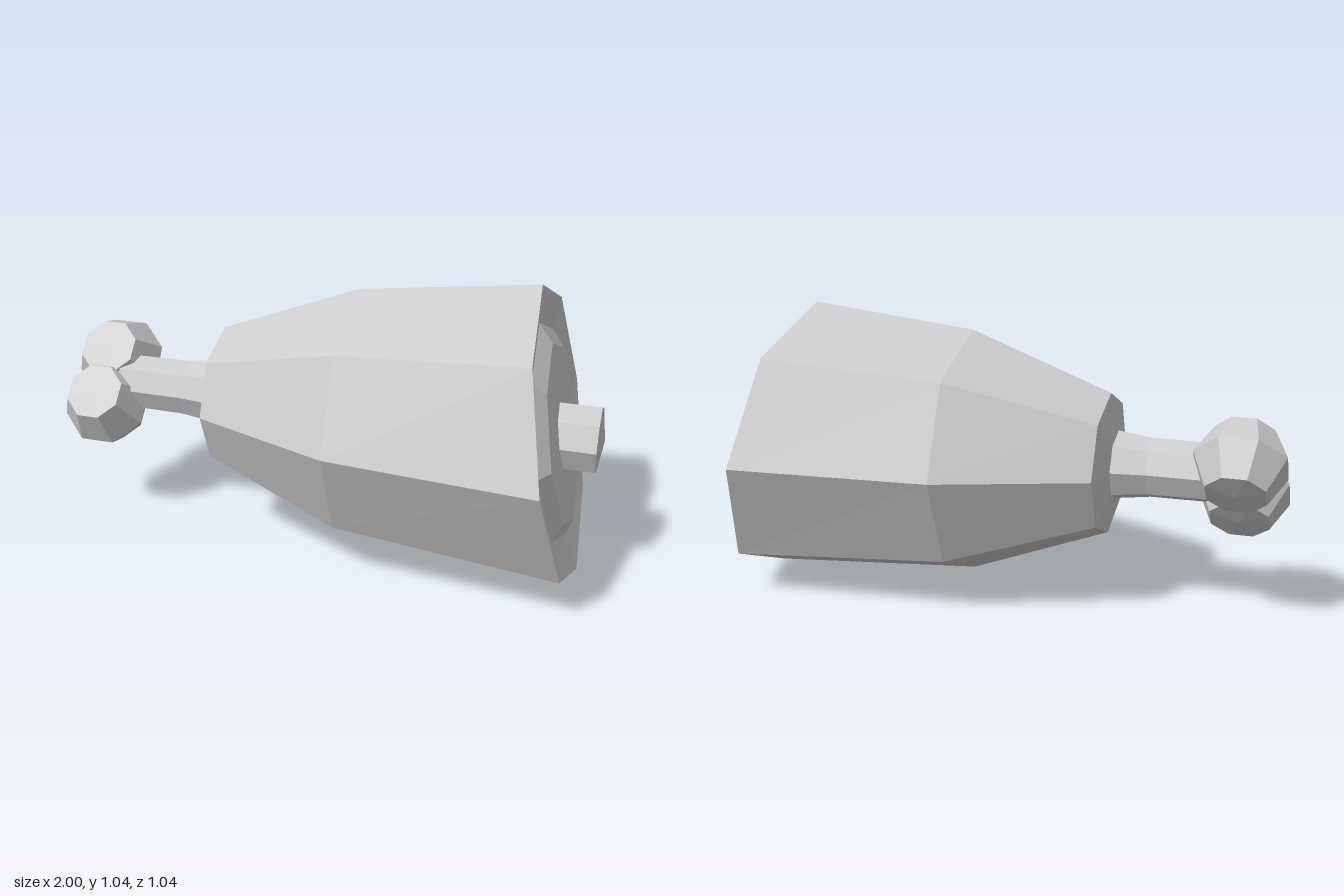
import * as THREE from 'three';

const SIDES = 8;
const AXIS_Y = 0.52;
const material = new THREE.MeshStandardMaterial({ color: 0xcccccc, flatShading: true });

// Eight-sided solid of revolution; profile is a list of [position along axis, radius]
function turned(name, profile, turn = 0) {
  const points = profile.map(([along, radius]) => new THREE.Vector2(radius, along));
  const mesh = new THREE.Mesh(new THREE.LatheGeometry(points, SIDES, turn), material);
  mesh.name = name;
  return mesh;
}

// Lay a solid down so that its axis runs along +x
function layDown(mesh) {
  mesh.geometry.rotateZ(-Math.PI / 2);
  mesh.position.y = AXIS_Y;
  return mesh;
}

export function createModel() {
  const group = new THREE.Group();
  group.name = 'meatLeg';

  // Meat: swelling body with a dished rim and a raised cut face
  const meat = layDown(turned('meat', [
    [-0.41, 0], [-0.41, 0.125], [-0.38, 0.255], [0.13, 0.45], [0.85, 0.52],
    [0.823, 0.388], [0.86, 0.322], [0.86, 0],
  ]));
  // Slant the cut end so its lower edge reaches further out
  const pos = meat.geometry.attributes.position;
  for (let i = 0; i < pos.count; i++) {
    if (pos.getX(i) > 0.5) pos.setX(i, pos.getX(i) - 0.19 * pos.getY(i));
    else pos.setY(i, pos.getY(i) - 0.004);
  }
  meat.geometry.computeVertexNormals();
  group.add(meat);

  // Bone shaft, and its stub poking out of the cut face
  const shaft = layDown(turned('boneShaft', [
    [-0.78, 0], [-0.78, 0.105], [-0.53, 0.107], [-0.4, 0.125],
  ]));
  shaft.position.y -= 0.004;
  const stub = layDown(turned('boneStub', [[0.8, 0.12], [0.982, 0.12], [1, 0]]));
  stub.position.y -= 0.008;
  group.add(shaft, stub);

  // Two knuckles side by side on a diagonal at the end of the bone
  for (const side of [1, -1]) {
    const knuckle = turned(side > 0 ? 'lowerKnuckle' : 'upperKnuckle', [
      [-0.135, 0], [-0.123, 0.108], [0, 0.168], [0.123, 0.108], [0.135, 0],
    ], Math.PI / SIDES);
    knuckle.rotation.x = THREE.MathUtils.degToRad(49);
    knuckle.position.set(-0.845, 0.508 - side * 0.064, side * 0.068);
    group.add(knuckle);
  }

  return group;
}
